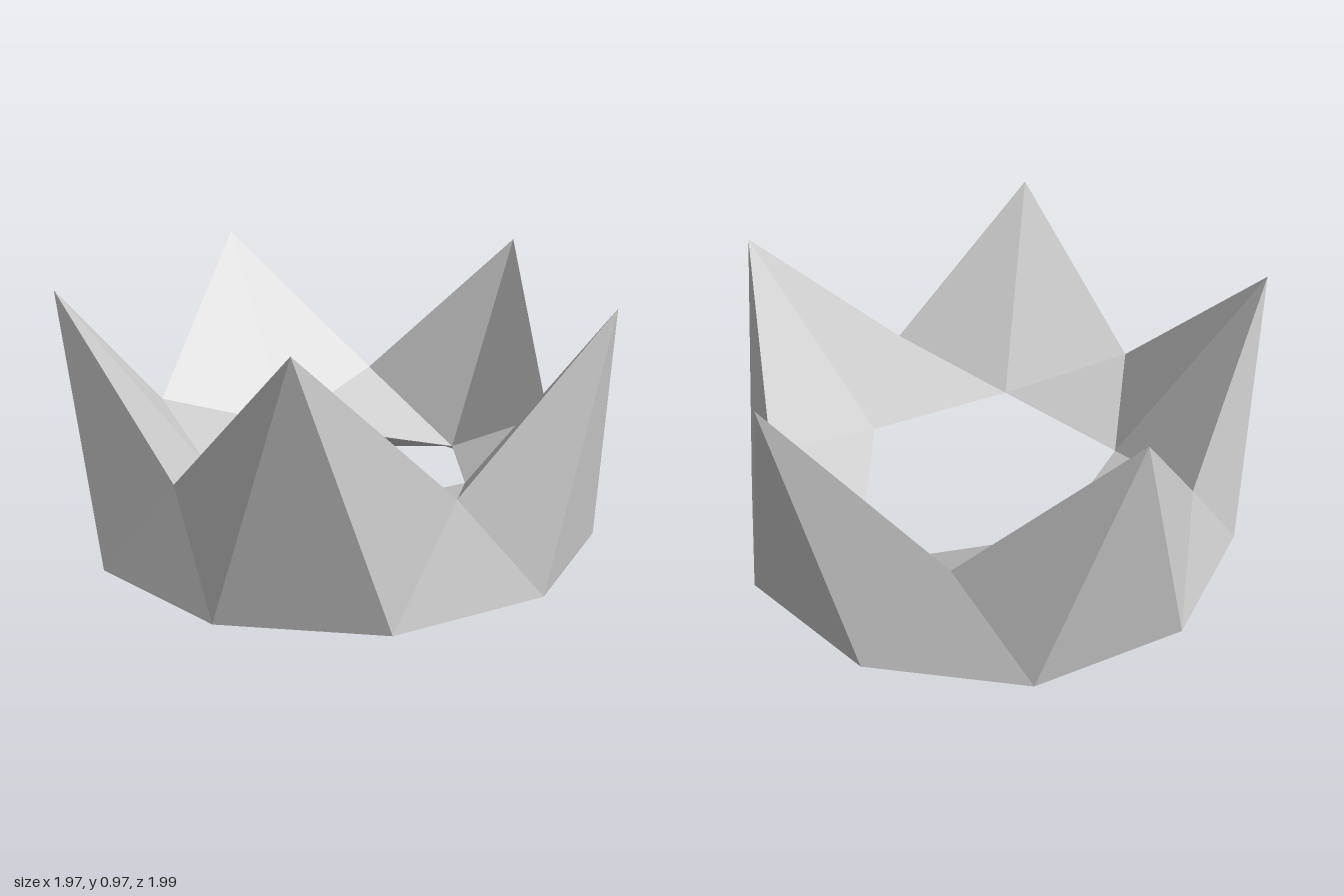
import * as THREE from 'three';

const CENTRE_X = -0.065;

// Point on a ring around the crown's axis, angle in degrees from +x towards +z
function ringPoint(radius, y, degrees) {
  const a = THREE.MathUtils.degToRad(degrees);
  return new THREE.Vector3(CENTRE_X + radius * Math.cos(a), y, radius * Math.sin(a));
}

function facetMesh(name, triangles, material) {
  const geometry = new THREE.BufferGeometry().setFromPoints(triangles.flat());
  geometry.computeVertexNormals();
  const mesh = new THREE.Mesh(geometry, material);
  mesh.name = name;
  return mesh;
}

export function createModel() {
  const crown = new THREE.Group();
  crown.name = 'crown';
  const material = new THREE.MeshStandardMaterial({ color: 0xcccccc, flatShading: true });

  // Rings: five peaks, five notches between them, ten base corners, inner rim
  const tips = [], notches = [], baseA = [], baseB = [], insets = [], rim = [];
  for (let i = 0; i < 5; i++) {
    const a = i * 72;
    tips.push(ringPoint(1.045, 0.97, a));
    notches.push(ringPoint(0.825, 0.385, a + 36));
    baseA.push(ringPoint(0.973, 0, a - 18));
    baseB.push(ringPoint(0.973, 0, a + 18));
    insets.push(ringPoint(0.85, 0, a + 36));
    rim.push(ringPoint(0.51, 0.243, a));
  }
  // One rim corner is pulled outwards and down
  rim[4].set(0.14, 0.13, -0.64);

  const outer = [], inner = [], under = [];
  for (let i = 0; i < 5; i++) {
    const n = (i + 1) % 5, p = (i + 4) % 5;
    outer.push(
      [baseB[i], baseA[i], tips[i]],
      [baseB[i], tips[i], notches[i]],
      [baseA[n], baseB[i], notches[i]],
      [baseA[i], notches[p], tips[i]],
    );
    inner.push(
      [rim[i], notches[i], tips[i]],
      [rim[i], tips[i], notches[p]],
      [rim[i], rim[n], notches[i]],
    );
    under.push(
      [baseA[i], baseB[i], rim[i]],
      [baseB[i], insets[i], rim[i]],
      [rim[i], insets[p], baseA[i]],
      [insets[i], rim[n], rim[i]],
      [baseB[i], baseA[n], insets[i]],
    );
  }

  crown.add(
    facetMesh('outerWall', outer, material),
    facetMesh('innerSlope', inner, material),
    facetMesh('underside', under, material),
  );
  return crown;
}
